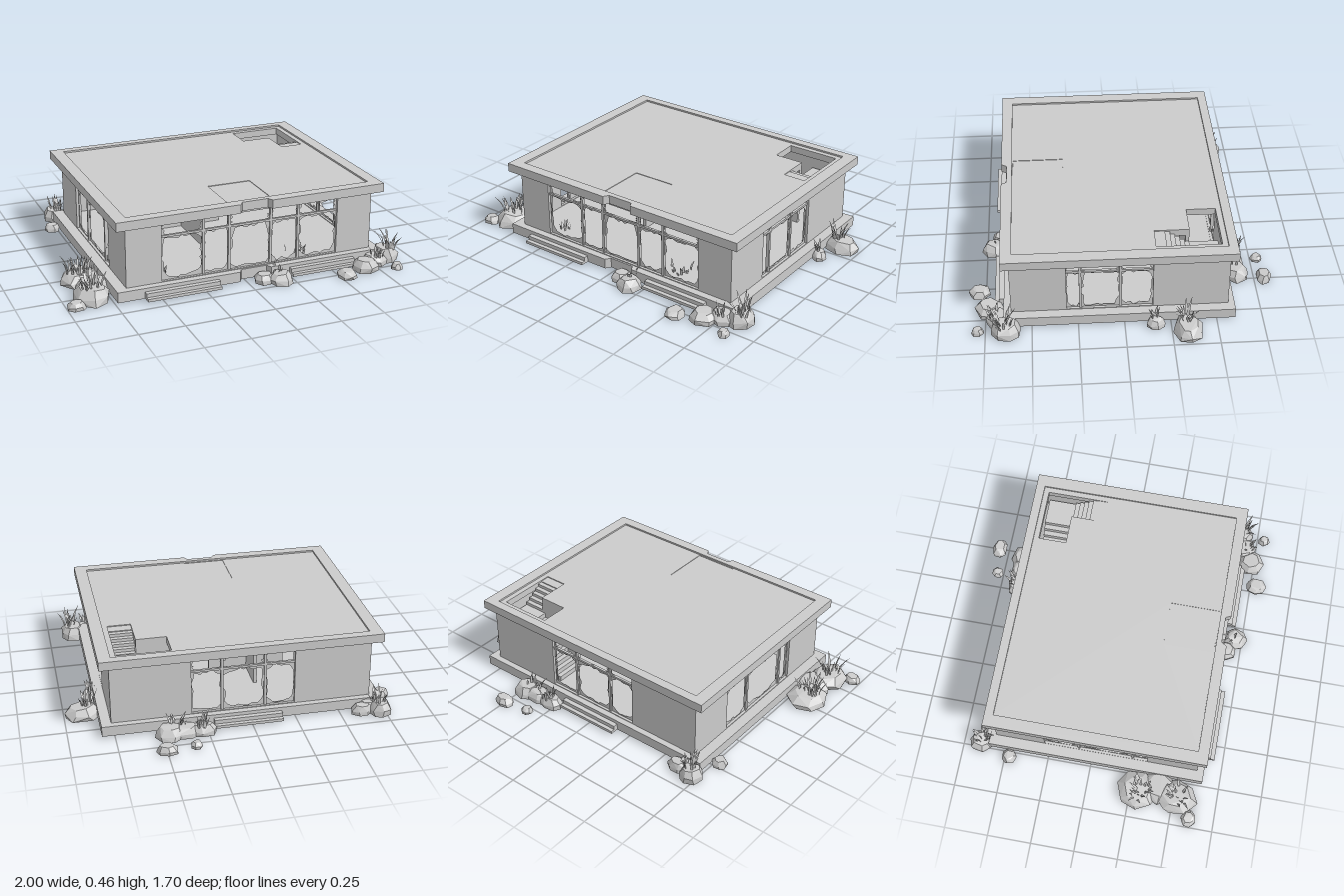
import * as THREE from 'three';
import { mergeGeometries } from 'three/addons/utils/BufferGeometryUtils.js';
import { ConvexGeometry } from 'three/addons/geometries/ConvexGeometry.js';

const solid = new THREE.MeshStandardMaterial({ color: 0xcccccc, flatShading: true });
const thin = new THREE.MeshStandardMaterial({ color: 0xcccccc, flatShading: true, side: THREE.DoubleSide });

let seed = 7;
const rnd = () => (seed = (seed * 16807) % 2147483647) / 2147483647;
const vary = (a, b) => a + (b - a) * rnd();

function add(parent, name, geometry, material = solid) {
  const mesh = new THREE.Mesh(geometry, material);
  mesh.name = name;
  parent.add(mesh);
  return mesh;
}

// Box given by its low and high corners
function box(parent, name, x0, x1, y0, y1, z0, z1) {
  const m = add(parent, name, new THREE.BoxGeometry(x1 - x0, y1 - y0, z1 - z0));
  m.position.set((x0 + x1) / 2, (y0 + y1) / 2, (z0 + z1) / 2);
}

const toPoints = (pts) => pts.map(([x, y]) => new THREE.Vector2(x, y));
const rect = (a0, a1, b0, b1) => [[a0, b0], [a1, b0], [a1, b1], [a0, b1]];

function shapeOf(pts, holes = []) {
  const s = new THREE.Shape(toPoints(pts));
  holes.forEach((h) => s.holes.push(new THREE.Path(toPoints(h))));
  return s;
}

// Horizontal slab from an [x, z] outline
function slab(parent, name, pts, y0, y1, holes = []) {
  const g = new THREE.ExtrudeGeometry(shapeOf(pts, holes), { depth: y1 - y0, bevelEnabled: false });
  add(parent, name, g.rotateX(Math.PI / 2).translate(0, y1, 0));
}

// Leftover glass: a pane with a ragged hole, deepest in the corners
function brokenGlass(parent, u0, u1, v0, v1) {
  const n = 28, hole = [];
  const cu = (u0 + u1) / 2, cv = (v0 + v1) / 2, w = (u1 - u0) / 2, h = (v1 - v0) / 2;
  for (let i = 0; i < n; i++) {
    const a = ((i + vary(-0.3, 0.3)) / n) * Math.PI * 2, c = Math.cos(a), s = Math.sin(a);
    const k = vary(0.8, 0.985) / Math.pow(c ** 8 + s ** 8, 1 / 8);
    hole.push([cu + c * k * w, cv + s * k * h]);
  }
  const m = add(parent, 'brokenGlass', new THREE.ShapeGeometry(shapeOf(rect(u0, u1, v0, v1), [hole])), thin);
  m.position.z = 0.015;
}

const T = 0.03, FLOOR = 0.07, CEIL = 0.41, TRANSOM = 0.325;

// Wall with one wide window, posts, transom and shards
function wall(parent, name, u0, u1, open, posts, place) {
  const g = new THREE.Group();
  g.name = name;
  const [a, b] = open, low = 0.074, high = 0.398;
  const panel = shapeOf(rect(u0, u1, FLOOR, CEIL), [rect(a, b, low, high)]);
  add(g, 'wallPanel', new THREE.ExtrudeGeometry(panel, { depth: T, bevelEnabled: false }));
  posts.forEach((p) => box(g, 'windowPost', p - 0.007, p + 0.007, low, high, 0.006, 0.024));
  box(g, 'transom', a, b, TRANSOM - 0.006, TRANSOM + 0.006, 0.008, 0.022);
  const stops = [a, ...posts, b];
  for (let i = 0; i + 1 < stops.length; i++) {
    brokenGlass(g, stops[i], stops[i + 1], low, TRANSOM);
    brokenGlass(g, stops[i], stops[i + 1], TRANSOM, high);
  }
  place(g);
  parent.add(g);
}

// Faceted boulder sitting on the ground
function rock(parent, x, z, rx, rz, h) {
  const pts = [], turn = vary(0, 1);
  for (const [r, y] of [[1, 0], [1, 0.5], [0.66, 1]]) {
    for (let i = 0; i < 7; i++) {
      const a = ((i + turn + vary(-0.2, 0.2)) / 7) * Math.PI * 2, k = r * vary(0.9, 1.06);
      pts.push(new THREE.Vector3(Math.cos(a) * k * rx, y ? h * (y + vary(-0.14, 0.06)) : 0, Math.sin(a) * k * rz));
    }
  }
  add(parent, 'rock', new ConvexGeometry(pts)).position.set(x, 0, z);
}

// Tuft of curved pointed blades leaning outward
function grass(parent, x, z, y, height, spread, count) {
  const blades = [];
  for (let i = 0; i < count; i++) {
    const len = height * vary(0.5, 1), lean = len * vary(0.15, 0.6);
    const angle = vary(0, Math.PI * 2), r = spread * Math.sqrt(rnd());
    const g = new THREE.PlaneGeometry(0.018, 1, 1, 3).translate(0, 0.5, 0);
    const p = g.attributes.position;
    for (let j = 0; j < p.count; j++) {
      const t = p.getY(j);
      p.setXYZ(j, p.getX(j) * (0.5 + 1.5 * t - 1.95 * t * t), len * t, lean * t * t);
    }
    g.rotateY(angle + vary(-0.6, 0.6)).translate(Math.sin(angle) * r, 0, Math.cos(angle) * r);
    blades.push(g);
  }
  add(parent, 'grassTuft', mergeGeometries(blades), thin).position.set(x, y, z);
}

export function createModel() {
  seed = 7;
  const model = new THREE.Group();
  model.name = 'ruinedPavilion';

  // Base and roof share an outline with a broken notch at the front
  const outline = [[-0.74, -0.6], [0.82, -0.6], [0.82, 0.65], [0.14, 0.65], [0.125, 0.62], [-0.025, 0.62], [-0.045, 0.65], [-0.74, 0.65]];
  slab(model, 'base', outline, 0.012, FLOOR);

  // Roof rim, recessed deck, sunken patch and stairwell
  const inner = rect(-0.67, 0.75, -0.55, 0.59);
  const patch = rect(-0.09, 0.16, 0.3, 0.585);
  const stairwell = [[0.42, -0.52], [0.72, -0.52], [0.72, -0.17], [0.59, -0.17], [0.59, -0.36], [0.42, -0.36]];
  slab(model, 'roofRim', outline, CEIL, 0.46, [inner]);
  slab(model, 'roofDeck', inner, CEIL, 0.45, [patch, stairwell]);
  slab(model, 'roofPatch', patch, CEIL, 0.447);

  // Entrance steps, two treads each
  for (const [x0, x1, edge, dir] of [[-0.59, -0.17, 0.65, 1], [0.25, 0.64, 0.65, 1], [-0.17, 0.21, -0.6, -1]]) {
    [[0.028, 0.05], [0.05, 0.027]].forEach(([top, out]) => {
      const far = edge + dir * out, near = edge - dir * 0.01;
      box(model, 'entranceStep', x0, x1, 0.012, top, Math.min(near, far), Math.max(near, far));
    });
  }

  // Outer walls
  wall(model, 'frontWall', -0.68, 0.765, [-0.48, 0.555], [-0.24, -0.09, 0.155, 0.32], (g) => g.position.set(0, 0, 0.61 - T));
  wall(model, 'backWall', -0.765, 0.68, [-0.325, 0.25], [-0.155, 0.085], (g) => {
    g.rotation.y = Math.PI;
    g.position.z = -0.565 + T;
  });
  wall(model, 'leftWall', -0.58, 0.535, [-0.31, 0.155], [-0.235, -0.02], (g) => {
    g.rotation.y = Math.PI / 2;
    g.position.x = 0.765 - T;
  });
  wall(model, 'rightWall', -0.535, 0.58, [-0.28, 0.32], [-0.08, 0.235], (g) => {
    g.rotation.y = -Math.PI / 2;
    g.position.x = -0.68 + T;
  });

  // Inner partitions
  box(model, 'partition', -0.3, -0.08, FLOOR, CEIL, -0.11, -0.09);
  box(model, 'partition', -0.08, 0.14, FLOOR, 0.345, -0.11, -0.09);
  box(model, 'partition', -0.1, -0.08, FLOOR, CEIL, -0.3, 0.235);
  box(model, 'stairSideWall', 0.325, 0.59, FLOOR, CEIL, -0.36, -0.34);

  // Stairs: long flight, landing, short flight up to the roof
  const landing = 0.35;
  for (let i = 0; i < 9; i++) {
    const top = FLOOR + ((i + 1) * (landing - FLOOR)) / 10, x = 0.32 + i * 0.028;
    box(model, 'stairStep', x, x + 0.028, Math.max(FLOOR, top - 0.06), top, -0.52, -0.36);
  }
  box(model, 'stairLanding', 0.572, 0.72, landing - 0.03, landing, -0.52, -0.36);
  for (let i = 0; i < 5; i++) {
    const top = landing + (i + 1) * 0.018, z = -0.36 + i * 0.0265;
    box(model, 'stairStep', 0.59, 0.72, top - 0.04, top, z, z + 0.0265);
  }
  box(model, 'stairTop', 0.59, 0.72, CEIL, 0.445, -0.2275, -0.17);

  // Rocks: x, z, half width, half depth, height
  [
    [-0.84, 0.29, 0.11, 0.115, 0.065], [-0.8, 0.41, 0.1, 0.1, 0.06], [-0.84, 0.52, 0.1, 0.12, 0.075], [-0.95, 0.605, 0.05, 0.045, 0.04],
    [-0.72, -0.65, 0.065, 0.07, 0.07], [-0.62, -0.635, 0.06, 0.045, 0.055], [-0.67, -0.61, 0.07, 0.05, 0.06], [-0.78, -0.475, 0.045, 0.045, 0.045],
    [0.28, -0.65, 0.08, 0.055, 0.06], [0.38, -0.65, 0.09, 0.06, 0.06], [0.46, -0.65, 0.08, 0.075, 0.065],
    [0.34, -0.785, 0.032, 0.035, 0.035], [0.5, -0.805, 0.06, 0.045, 0.045],
    [0.9, -0.335, 0.1, 0.08, 0.065], [0.845, -0.165, 0.038, 0.05, 0.05],
    [0.68, 0.73, 0.075, 0.08, 0.06], [0.76, 0.68, 0.08, 0.065, 0.06], [0.85, 0.64, 0.075, 0.085, 0.075],
    [0.535, 0.785, 0.055, 0.06, 0.04], [0.845, 0.79, 0.032, 0.035, 0.035],
    [0.09, 0.67, 0.06, 0.055, 0.05], [0.17, 0.71, 0.07, 0.07, 0.06],
  ].forEach((r) => rock(model, ...r));

  // Grass: x, z, base height, blade length, spread, blades
  [
    [-0.85, 0.3, 0.055, 0.11, 0.06, 24], [-0.84, 0.53, 0.06, 0.11, 0.06, 20], [-0.71, -0.64, 0.055, 0.1, 0.04, 18],
    [0.29, -0.66, 0.05, 0.08, 0.04, 16], [0.42, -0.65, 0.05, 0.07, 0.05, 12], [0.87, -0.33, 0.055, 0.11, 0.035, 16],
    [0.84, -0.16, 0.04, 0.08, 0.015, 8], [0.87, 0.65, 0.06, 0.11, 0.04, 20], [0.77, 0.7, 0.05, 0.07, 0.04, 10],
    [0.15, 0.67, 0.045, 0.05, 0.04, 6], [-0.45, 0.52, FLOOR, 0.05, 0.03, 8], [0.36, 0.5, FLOOR, 0.05, 0.06, 12],
  ].forEach((t) => grass(model, ...t));

  return model;
}
